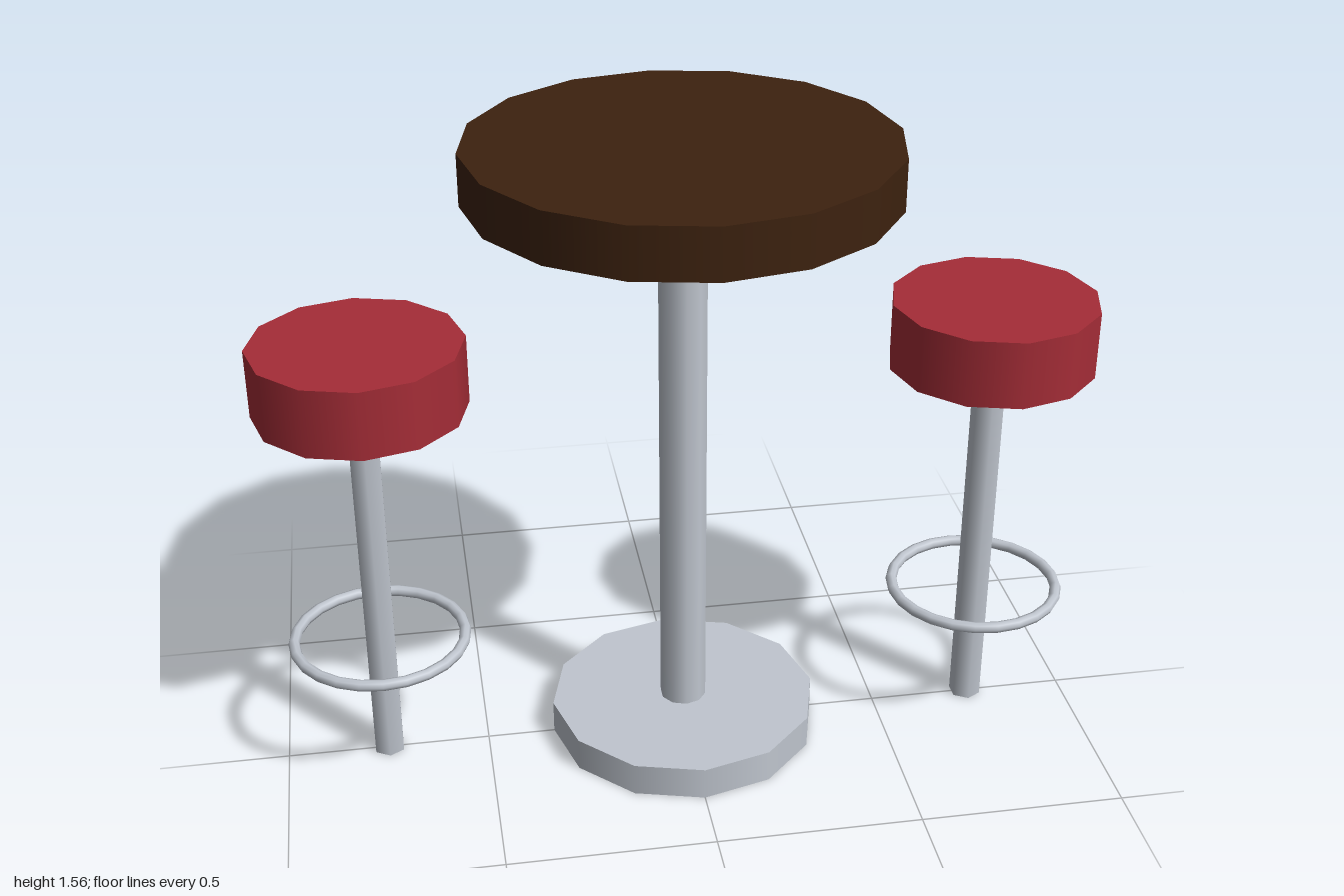
import * as THREE from 'three';

const wood = new THREE.MeshStandardMaterial({ name: 'dark wood', color: 0x3d220f });
const red = new THREE.MeshStandardMaterial({ name: 'red upholstery', color: 0xa52d37 });
const metal = new THREE.MeshStandardMaterial({ name: 'brushed metal', color: 0xc0c6cf });

// Upright cylinder standing between two heights
function disc(name, radius, bottom, top, sides, material) {
  const mesh = new THREE.Mesh(new THREE.CylinderGeometry(radius, radius, top - bottom, sides), material);
  mesh.name = name;
  mesh.position.y = (bottom + top) / 2;
  return mesh;
}

function createTable() {
  const table = new THREE.Group();
  table.name = 'table';
  table.add(
    disc('tableBase', 0.333, 0, 0.083, 12, metal),
    disc('tablePost', 0.0575, 0.08, 1.445, 10, metal),
    disc('tableTop', 0.5, 1.44, 1.5625, 16, wood)
  );
  return table;
}

function createStool(name, x) {
  const stool = new THREE.Group();
  stool.name = name;
  // Foot ring floats around the pole
  const ring = new THREE.Mesh(new THREE.TorusGeometry(0.208, 0.014, 8, 24), metal);
  ring.name = 'footRing';
  ring.rotation.x = Math.PI / 2;
  ring.position.y = 0.333;
  stool.add(
    disc('stoolPole', 0.04, 0, 0.965, 6, metal),
    ring,
    disc('seat', 0.25, 0.96, 1.127, 12, red)
  );
  stool.position.x = x;
  return stool;
}

export function createModel() {
  const model = new THREE.Group();
  model.name = 'barTableWithStools';
  model.add(createTable(), createStool('leftStool', 0.75), createStool('rightStool', -0.75));
  return model;
}
